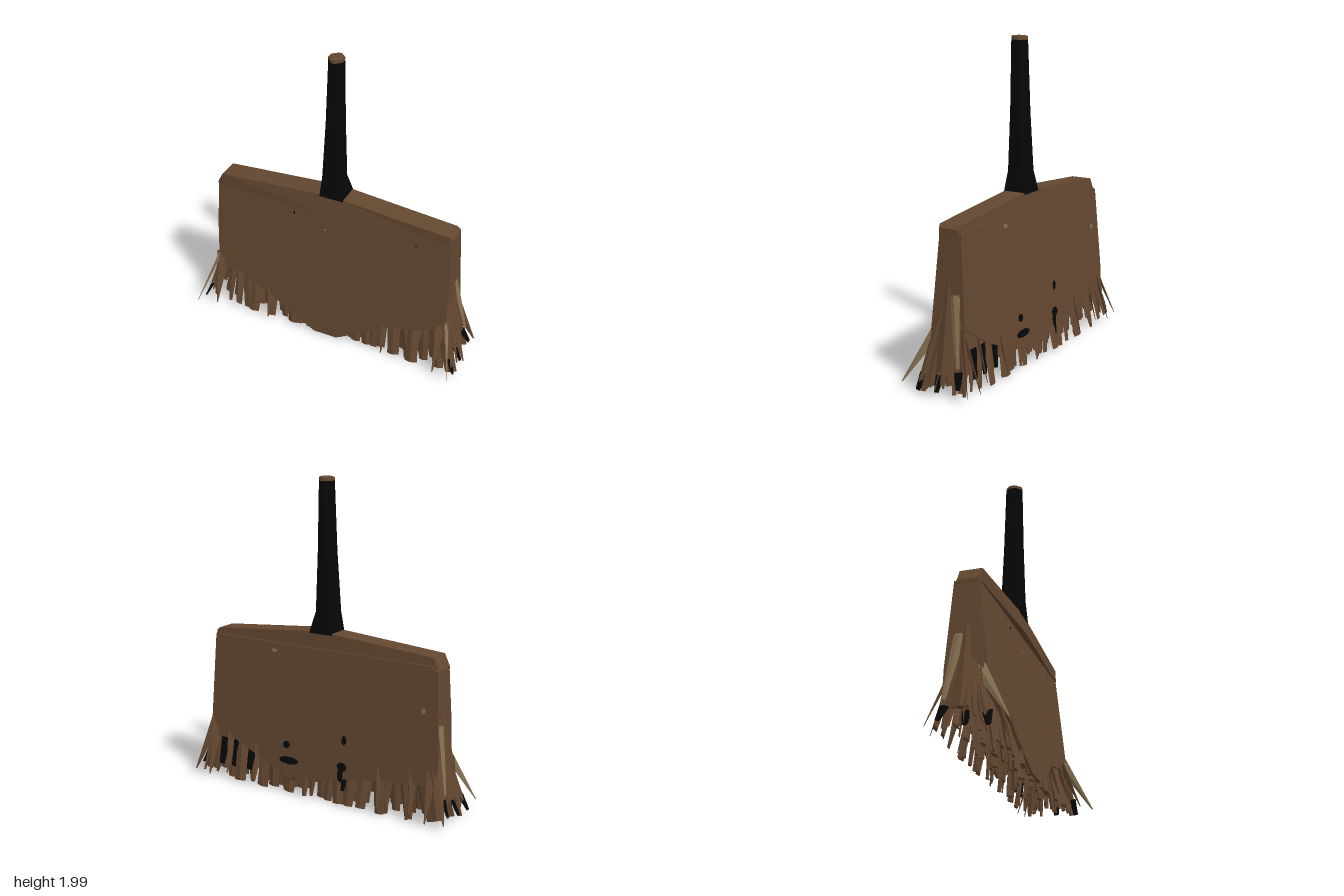
import * as THREE from 'three';
import { mergeGeometries } from 'three/addons/utils/BufferGeometryUtils.js';

const V = (x, y, z) => new THREE.Vector3(x, y, z);

// Small seeded generator for the ragged bristles
function seeded(s) {
  return () => {
    s = (s * 16807) % 2147483647;
    return s / 2147483647;
  };
}

// Skin through rings of points that run anticlockwise about the path, with end caps
function loft(rings) {
  const p = [];
  const tri = (...pts) => pts.forEach((v) => p.push(v.x, v.y, v.z));
  const n = rings[0].length;
  for (let r = 0; r < rings.length - 1; r++) {
    for (let i = 0; i < n; i++) {
      const j = (i + 1) % n, a = rings[r], b = rings[r + 1];
      tri(a[i], a[j], b[j]);
      tri(a[i], b[j], b[i]);
    }
  }
  const end = rings[rings.length - 1];
  for (let i = 1; i < n - 1; i++) {
    tri(rings[0][0], rings[0][i + 1], rings[0][i]);
    tri(end[0], end[i], end[i + 1]);
  }
  const g = new THREE.BufferGeometry();
  g.setAttribute('position', new THREE.Float32BufferAttribute(p, 3));
  g.computeVertexNormals();
  return g;
}

// Level rectangular ring with corners cut by c
const box = (y, x0, x1, z0, z1, c = 0.001) => [
  V(x0 + c, y, z1), V(x1 - c, y, z1), V(x1, y, z1 - c), V(x1, y, z0 + c),
  V(x1 - c, y, z0), V(x0 + c, y, z0), V(x0, y, z0 + c), V(x0, y, z1 - c),
];

// Push a flat geometry onto a sloping face of the head
function slope(g, zAt) {
  const pos = g.attributes.position;
  for (let i = 0; i < pos.count; i++) pos.setZ(i, pos.getZ(i) + zAt(pos.getY(i)));
  g.computeVertexNormals();
  return g;
}
const frontZ = (y) => 0.02 + (0.92 - y) * 0.1;
const backZ = (y) => -0.112 - (0.96 - y) * 0.065;

// Thin board with the given outline
function panel(outline, zAt) {
  const shape = new THREE.Shape(outline.map(([x, y]) => new THREE.Vector2(x, y)));
  return slope(new THREE.ExtrudeGeometry(shape, { depth: 0.015, bevelEnabled: false }), zAt);
}

// Small flat fleck lying on the front or the back board
function fleck([x, y, w, h], front) {
  const g = new THREE.CylinderGeometry(1, 1, 0.004, 7).rotateX(Math.PI / 2);
  g.scale(w / 2, h / 2, 1).translate(x, y, front ? 0.016 : -0.001);
  return slope(g, front ? frontZ : backZ);
}

// Flat tapered bristle from root to tip
function bristle(root, tip, r0, r1, turn) {
  const dir = root.clone().sub(tip);
  const g = new THREE.CylinderGeometry(r0, r1, dir.length(), 4);
  g.scale(1, 1, 0.35);
  g.rotateY(turn);
  g.applyQuaternion(new THREE.Quaternion().setFromUnitVectors(V(0, 1, 0), dir.normalize()));
  const mid = root.clone().add(tip).multiplyScalar(0.5);
  return g.translate(mid.x, mid.y, mid.z);
}

export function createModel() {
  const material = (name, color) => {
    const m = new THREE.MeshStandardMaterial({ color, flatShading: true });
    m.name = name;
    return m;
  };
  const brown = material('brown wood', 0x634730);
  const tan = material('pale straw', 0x857050);
  const black = material('black', 0x060606);

  const group = new THREE.Group();
  group.name = 'broom';
  const add = (name, geometry, mat) => {
    const m = new THREE.Mesh(geometry, mat);
    m.name = name;
    group.add(m);
  };

  // Handle, square and flared at the foot, eight-sided above
  add('handle', loft([
    box(1.05, -0.07, 0.09, -0.1, 0.05),
    box(1.065, -0.068, 0.088, -0.098, 0.05),
    box(1.18, -0.06, 0.066, -0.082, 0.048, 0.02),
    box(1.55, -0.045, 0.064, -0.076, 0.042, 0.034),
    box(1.975, -0.03, 0.06, -0.068, 0.036, 0.034),
  ]), black);
  add('handleTip', loft([
    box(1.975, -0.03, 0.06, -0.068, 0.036, 0.034),
    box(1.995, -0.03, 0.06, -0.068, 0.036, 0.034),
    box(2.0, -0.015, 0.05, -0.055, 0.02, 0.02),
  ]), brown);

  // Top block, peaked under the handle, with a front lip that fades toward the ends
  add('topBlock', loft([
    [-0.805, 0.935, 0.03, 0.921], [-0.765, 1.008, 0.04, 0.922], [-0.07, 1.06, 0.062, 0.938],
    [0.09, 1.06, 0.062, 0.938], [0.785, 0.998, 0.04, 0.922], [0.805, 0.98, 0.03, 0.921],
  ].map(([x, top, lip, lipY]) => [
    V(x, top, -0.095), V(x, top, Math.min(lip, 0.045)), V(x, lipY, lip), V(x, 0.918, 0.02), V(x, 0.91, -0.105),
  ])), brown);

  // Head core and its two boards
  add('headCore', loft([
    box(0.28, -0.82, 0.82, -0.145, 0.08),
    box(0.45, -0.81, 0.81, -0.135, 0.065),
    box(0.93, -0.8, 0.8, -0.1, 0.022),
  ]), brown);
  add('frontPanel', panel([
    [-0.8, 0.922], [-0.805, 0.62], [-0.8, 0.4], [-0.57, 0.25], [-0.42, 0.2], [-0.25, 0.1], [-0.08, 0.012],
    [0.08, 0.012], [0.28, 0.12], [0.41, 0.21], [0.62, 0.26], [0.815, 0.37], [0.8, 0.922],
  ], frontZ), brown);
  add('backPanel', panel([
    [-0.8, 0.93], [-0.83, 0.4], [-0.82, 0.25], [-0.5, 0.22], [-0.1, 0.16],
    [0.15, 0.08], [0.35, 0.17], [0.6, 0.27], [0.82, 0.42], [0.8, 0.96], [-0.75, 0.96],
  ], backZ), brown);

  // Flecks and burn marks as [x, y, width, height]
  add('darkFlecks', mergeGeometries([
    ...[[0.23, 0.32, 0.05, 0.05], [0.21, 0.22, 0.15, 0.05], [-0.19, 0.42, 0.035, 0.06],
      [-0.18, 0.25, 0.07, 0.06], [-0.17, 0.2, 0.04, 0.1]].map((f) => fleck(f, false)),
    ...[[-0.25, 0.865, 0.01, 0.018], [0.575, 0.87, 0.01, 0.01]].map((f) => fleck(f, true)),
  ]), black);
  add('paleFlecks', mergeGeometries([
    ...[[0.34, 0.91, 0.045, 0.025], [-0.72, 0.69, 0.03, 0.035]].map((f) => fleck(f, false)),
    fleck([-0.035, 0.8, 0.012, 0.018], true),
  ]), tan);

  // Ragged bristles in rows beneath the head
  const rnd = seeded(4271);
  const sets = { brown: [], tan: [], black: [] };
  const rows = [[0.05, 0.1], [0.0, 0.03], [-0.06, -0.07], [-0.115, -0.16]];
  for (const [rootZ, tipZ] of rows) {
    for (let i = 0; i < 26; i++) {
      const x = -0.77 + (1.54 * i) / 25 + (rnd() - 0.5) * 0.04;
      const splay = Math.max(0, Math.abs(x) - 0.5) * 0.3 * Math.sign(x);
      const y = 0.01 + rnd() * 0.012 + Math.max(0, Math.abs(x) - 0.6) * rnd() * 0.3;
      const tip = V(x + splay + (rnd() - 0.5) * 0.1, y, tipZ + (rnd() - 0.5) * 0.05);
      sets.brown.push(bristle(V(x, 0.38, rootZ), tip, 0.045, 0.008 + rnd() * 0.036, (rnd() - 0.5) * 0.5));
    }
  }

  // Dark stubs tucked among the bristles under the back board
  for (const x of [0.72, 0.62, 0.5, 0.15, -0.2]) {
    sets.black.push(bristle(V(x, 0.28, -0.135), V(x + 0.02, 0.1, -0.162), 0.035, 0.02, 0));
  }

  // Splayed bristles at both ends
  for (const side of [-1, 1]) {
    for (let i = 0; i < 9; i++) {
      const t = i / 8 - 0.5;
      const root = V(side * 0.795, 0.4 + rnd() * 0.12, -0.035 + t * 0.11);
      const tip = V(side * (0.83 + rnd() * 0.07), 0.03 + rnd() * 0.07, -0.025 + t * 0.3);
      sets.brown.push(bristle(root, tip, 0.035, 0.012, Math.PI / 2));
    }
    // Long loose strands: pale ones stay edge-on to the front
    for (const [x, y, z, name] of [
      [0.9, 0.06, 0.24, 'tan'], [0.78, 0.05, 0.19, 'brown'], [0.64, 0.06, 0.15, 'brown'],
      [0.41, 0.03, 0.15, 'brown'], [0.91, 0.05, -0.22, 'brown'], [0.79, 0.04, -0.23, 'brown'],
      [0.67, 0.06, -0.2, 'brown'], [0.45, 0.05, -0.2, 'brown'], [0.92, 0.04, 0.0, 'brown'],
    ]) {
      const root = V(side * Math.min(x, 0.8), 0.4, z > 0 ? 0.04 : Math.sign(z) * 0.085 - 0.025);
      const turn = name === 'brown' ? Math.PI / 4 : Math.PI / 2;
      sets[name].push(bristle(root, V(side * x, y, z), 0.04, 0.004, turn));
    }
    // Short dark tips at the ends
    for (const [z, y] of [[0.13, 0.03], [0.0, 0.04], [-0.15, 0.08]]) {
      sets.black.push(bristle(V(side * 0.86, y + 0.09, z * 0.85), V(side * 0.9, y, z), 0.03, 0.015, Math.PI / 2));
    }
    // Broad strands lying along the end face
    sets.tan.push(bristle(V(side * 0.805, 0.6, -0.07), V(side * 0.875, 0.2, -0.13), 0.035, 0.014, Math.PI / 2));
    sets.brown.push(bristle(V(side * 0.8, 0.68, -0.03), V(side * 0.87, 0.15, -0.03), 0.012, 0.06, Math.PI / 2));
  }
  add('bristles', mergeGeometries(sets.brown), brown);
  add('paleBristles', mergeGeometries(sets.tan), tan);
  add('darkBristles', mergeGeometries(sets.black), black);
  return group;
}
